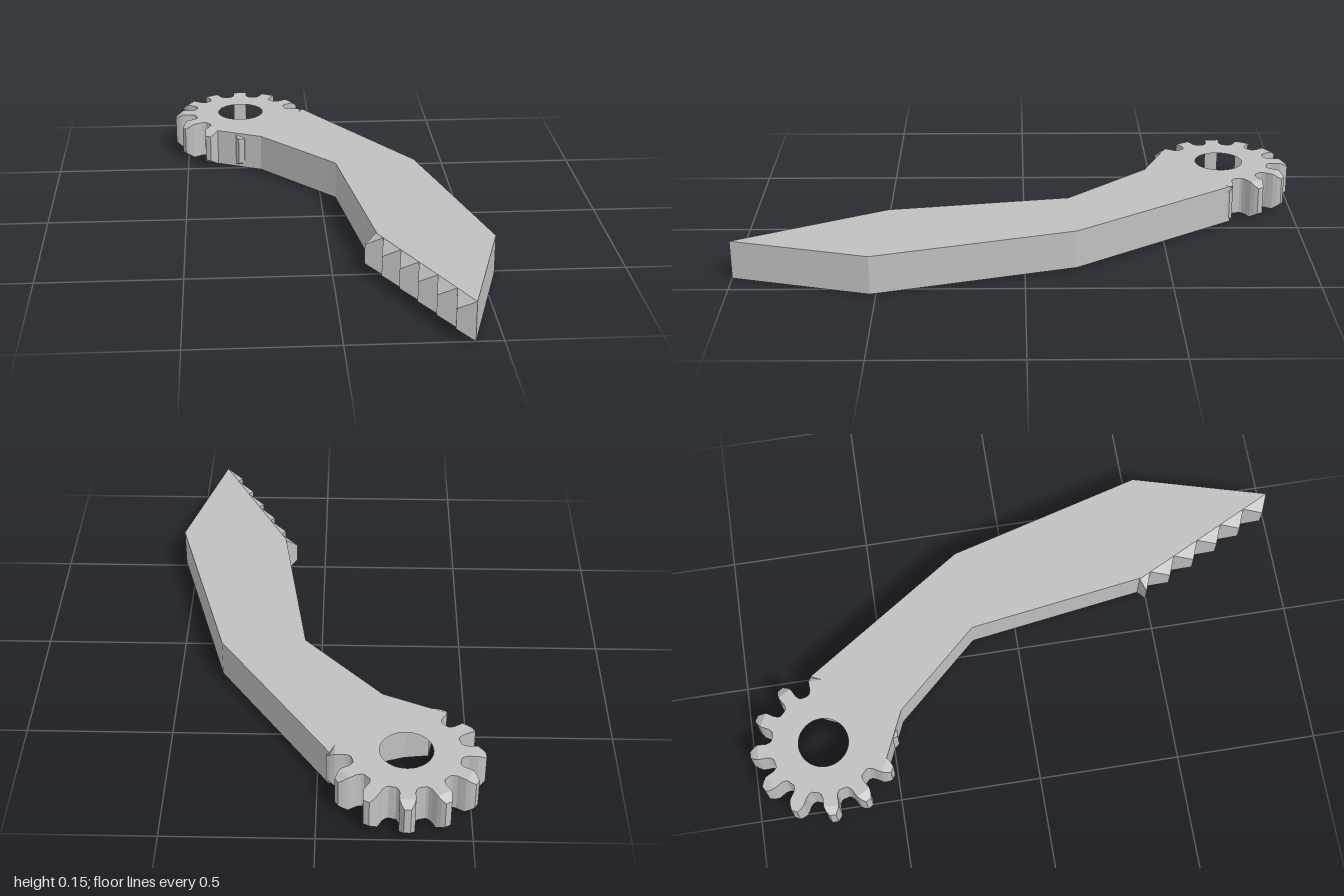
import * as THREE from 'three';
import { ConvexGeometry } from 'three/addons/geometries/ConvexGeometry.js';

const T = 0.138;               // plate thickness
const CX = -0.29, CZ = -0.74;  // gear centre
const TEETH = 12;

// Plan outline in (x, z) raised into an upright plate
function plate(points, material, name, hole) {
  const shape = new THREE.Shape(points.map(([x, z]) => new THREE.Vector2(x, -z)));
  if (hole) {
    const path = new THREE.Path();
    path.absarc(hole[0], -hole[1], hole[2], 0, Math.PI * 2, true);
    shape.holes.push(path);
  }
  const g = new THREE.ExtrudeGeometry(shape, { depth: T, bevelEnabled: false, curveSegments: 24 });
  g.rotateX(-Math.PI / 2);
  const mesh = new THREE.Mesh(g, material);
  mesh.name = name;
  return mesh;
}

export function createModel() {
  const model = new THREE.Group();
  model.name = 'gearedLever';
  const grey = new THREE.MeshStandardMaterial({ color: 0xc0c0c0 });
  grey.name = 'grey metal';

  // Gear body: rounded roots and tooth flanks, [radius, half width] up one flank
  const flank = [[0.179, 0.035], [0.186, 0.029], [0.2, 0.025], [0.216, 0.026], [0.232, 0.026]];
  const outline = [];
  for (let i = 0; i < TEETH; i++) {
    const a = (i / TEETH) * Math.PI * 2;
    const put = (r, w) => outline.push([
      CX + r * Math.cos(a) - w * Math.sin(a),
      CZ + r * Math.sin(a) + w * Math.cos(a),
    ]);
    flank.forEach(([r, w]) => put(r, -w));
    [...flank].reverse().forEach(([r, w]) => put(r, w));
  }
  model.add(plate(outline, grey, 'gearBody', [CX, CZ, 0.088]));

  // Tooth tips, narrowing in plan and chamfered above and below
  const tipPoints = [];
  for (const [r, w, inset] of [[0.232, 0.026, 0], [0.247, 0.02, 0.01], [0.26, 0.011, 0.0187]]) {
    for (const s of [-1, 1]) {
      tipPoints.push(new THREE.Vector3(r, inset, s * w), new THREE.Vector3(r, T - inset, s * w));
    }
  }
  const tipGeometry = new ConvexGeometry(tipPoints);
  const tips = new THREE.Group();
  tips.name = 'gearToothTips';
  for (let i = 0; i < TEETH; i++) {
    const tip = new THREE.Mesh(tipGeometry, grey);
    tip.name = 'gearToothTip';
    tip.position.set(CX, 0, CZ);
    tip.rotation.y = (i / TEETH) * Math.PI * 2;
    tips.add(tip);
  }
  model.add(tips);

  // Bent arm, its near end wrapping round the bore
  model.add(plate([
    [-0.04, -0.757], [0.35, -0.18], [0.545, 0.52], [0.41, 1.0], [0.15, 0.48],
    [0.055, -0.16], [-0.215, -0.455], [-0.385, -0.53], [-0.37, -0.61],
    [-0.29, -0.62], [-0.2, -0.65], [-0.16, -0.74], [-0.11, -0.765], [-0.06, -0.715],
  ], grey, 'arm'));

  // Serrations along the slanted end: wedges tapering to a short upright edge
  const serrations = new THREE.Group();
  serrations.name = 'serrations';
  const start = new THREE.Vector2(0.168, 0.515), end = new THREE.Vector2(0.41, 1.0);
  let upper = new THREE.Vector2(0.148, 0.472);
  for (let i = 0; i < 6; i++) {
    const lower = start.clone().lerp(end, i / 5);
    const tip = new THREE.Vector2(lower.x - 0.06, lower.y - 0.022);
    const points = [];
    for (const [p, inset] of [[upper, 0], [lower, 0], [tip, 0.034]]) {
      points.push(new THREE.Vector3(p.x, inset, p.y), new THREE.Vector3(p.x, T - inset, p.y));
    }
    const wedge = new THREE.Mesh(new ConvexGeometry(points), grey);
    wedge.name = 'serration';
    serrations.add(wedge);
    upper = lower;
  }
  model.add(serrations);

  // The whole plate leans very slightly towards the front
  model.rotation.x = 0.006;
  model.position.y = 0.006;
  const root = new THREE.Group();
  root.name = 'lever';
  root.add(model);
  return root;
}
